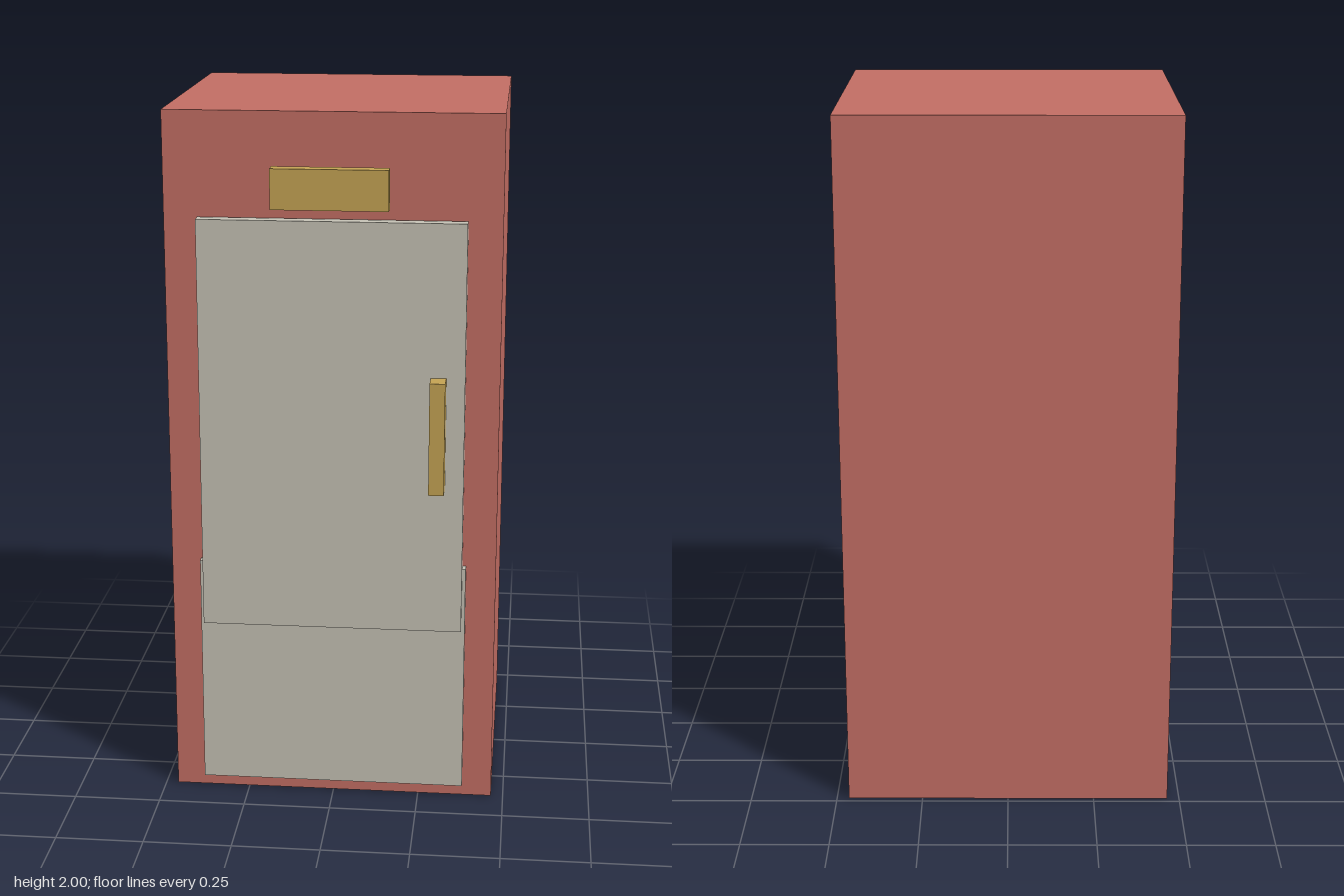
import * as THREE from 'three';

export function createModel() {
  const group = new THREE.Group();
  group.name = 'cabinet';

  const mat = (name, color) => {
    const m = new THREE.MeshStandardMaterial({ color });
    m.name = name;
    return m;
  };
  const red = mat('brick red', 0xc67066);
  const grey = mat('warm grey', 0xc9c5b8);
  const gold = mat('brass', 0xc8a655);

  // Box given by its extents along each axis
  const box = (name, material, [x0, x1], [y0, y1], [z0, z1]) => {
    const mesh = new THREE.Mesh(new THREE.BoxGeometry(x1 - x0, y1 - y0, z1 - z0), material);
    mesh.position.set((x0 + x1) / 2, (y0 + y1) / 2, (z0 + z1) / 2);
    mesh.name = name;
    group.add(mesh);
  };

  // Main cabinet
  box('body', red, [-0.465, 0.465], [0, 2], [-0.484, 0.379]);

  // Front panels: the door overlaps the lower panel
  box('lowerPanel', grey, [-0.38, 0.38], [0.04, 0.717], [0.375, 0.405]);
  box('door', grey, [-0.37, 0.37], [0.533, 1.71], [0.386, 0.424]);

  // Brass fittings
  box('handle', gold, [0.275, 0.318], [0.96, 1.28], [0.424, 0.483]);
  box('signPlate', gold, [-0.16, 0.16], [1.747, 1.858], [0.425, 0.467]);

  // Small plate set into the underside
  box('basePlate', grey, [-0.1, 0.1], [-0.0005, 0.004], [0.21, 0.31]);

  return group;
}
